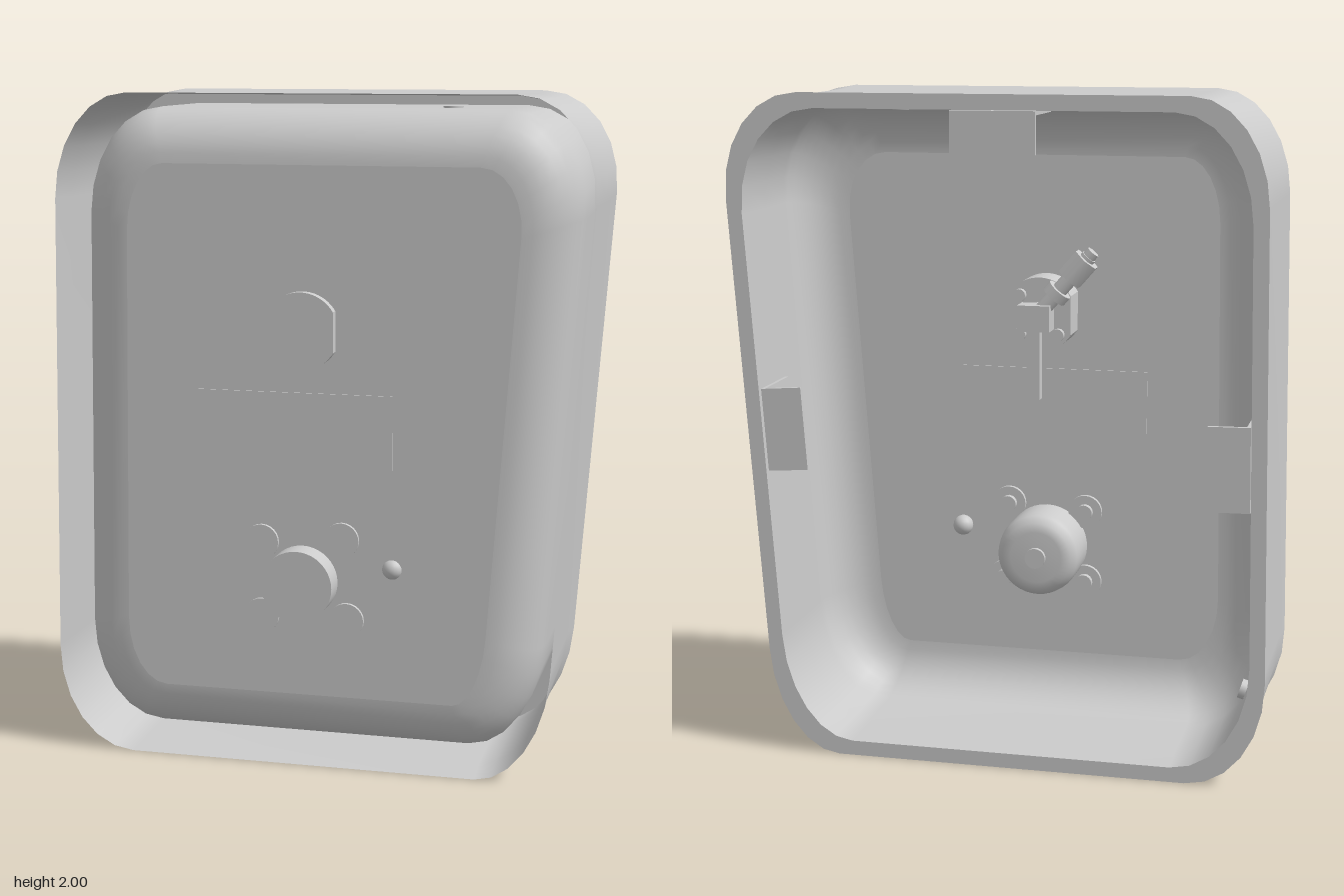
import * as THREE from 'three';

const solid = new THREE.MeshStandardMaterial({ color: 0xcccccc });
const thin = new THREE.MeshStandardMaterial({ color: 0xcccccc, side: THREE.DoubleSide });
const FLOOR = 0.22;
const LIP = 0.045;

// corner position, corner radii across and up, inward direction
const corners = [
  { x: 0.823, y: 2, rx: 0.245, ry: 0.31, sx: -1, sy: -1, lean: 0.073 },
  { x: -0.786, y: 2, rx: 0.22, ry: 0.31, sx: 1, sy: -1, lean: 0.0145 },
  { x: -0.815, y: 0, rx: 0.235, ry: 0.32, sx: 1, sy: 1, lean: 0.0145 },
  { x: 0.677, y: 0, rx: 0.195, ry: 0.32, sx: -1, sy: 1, lean: 0.073 },
];

// Rounded, slightly skewed outline, moved inward by inset
function outline(inset, steps = 6) {
  const points = [];
  const shrink = Math.max(0, inset - LIP) * 0.7;
  corners.forEach((c, i) => {
    const cx = c.x + c.sx * inset - c.sy * -c.lean * inset;
    const cy = c.y + c.sy * inset;
    const rx = c.rx - shrink, ry = c.ry - shrink;
    for (let k = 0; k <= steps; k++) {
      const t = (i % 2 ? steps - k : k) / steps * Math.PI / 2;
      const up = ry * (1 - Math.sin(t));
      const across = rx * (1 - Math.cos(t));
      points.push(new THREE.Vector2(cx + c.sx * across + c.sy * c.lean * up, cy + c.sy * up));
    }
  });
  return points;
}

// Surface through outlines given as [inset, z]
function loft(levels) {
  const pos = [], index = [];
  levels.forEach(([inset, z]) => outline(inset).forEach((p) => pos.push(p.x, p.y, z)));
  const n = pos.length / 3 / levels.length;
  for (let r = 0; r < levels.length - 1; r++) {
    for (let i = 0; i < n; i++) {
      const a = r * n + i, b = r * n + (i + 1) % n;
      index.push(a, a + n, b, b, a + n, b + n);
    }
  }
  const g = new THREE.BufferGeometry();
  g.setAttribute('position', new THREE.Float32BufferAttribute(pos, 3));
  g.setIndex(index);
  g.computeVertexNormals();
  return g;
}

function add(parent, name, geometry, x = 0, y = 0, z = 0, material = solid) {
  const mesh = new THREE.Mesh(geometry, material);
  mesh.name = name;
  mesh.position.set(x, y, z);
  parent.add(mesh);
  return mesh;
}

// Cylinder along z between two depths
function disc(parent, name, r, x, y, z0, z1, sides = 32) {
  const g = new THREE.CylinderGeometry(r, r, z1 - z0, sides).rotateX(Math.PI / 2);
  return add(parent, name, g, x, y, (z0 + z1) / 2);
}

function box(parent, name, w, h, d, x, y, z) {
  return add(parent, name, new THREE.BoxGeometry(w, h, d), x, y, z);
}

function buildHousing(parent) {
  add(parent, 'outerWall', loft([[0, 0.27], [0.006, 0.15], [0.008, -0.2], [0, -0.3]]), 0, 0, 0, thin);
  add(parent, 'backLip', loft([[0, -0.3], [LIP, -0.3]]), 0, 0, 0, thin);
  const r = 0.16;
  const levels = [[LIP, -0.3], [LIP, -0.1]];
  for (let k = 0; k <= 8; k++) {
    const t = k / 8 * Math.PI / 2;
    levels.push([LIP + r * (1 - Math.cos(t)), FLOOR - r + r * Math.sin(t)]);
  }
  add(parent, 'panWall', loft(levels), 0, 0, 0, thin);
  const floor = new THREE.ShapeGeometry(new THREE.Shape(outline(LIP + r)));
  add(parent, 'panFloor', floor, 0, 0, FLOOR, thin);
  box(parent, 'labelPlate', 0.59, 0.22, 0.008, -0.075, 1.02, FLOOR);
}

function buildLock(parent) {
  const lock = new THREE.Group();
  lock.name = 'lock';
  lock.position.set(-0.05, 1.315, 0);
  parent.add(lock);
  // round barrel with flattened sides
  const a = Math.acos(0.098 / 0.115);
  const shape = new THREE.Shape();
  shape.absarc(0, 0, 0.115, a, Math.PI - a, false);
  shape.absarc(0, 0, 0.115, Math.PI + a, -a, false);
  shape.closePath();
  const barrel = new THREE.ExtrudeGeometry(shape, { depth: 0.14, bevelEnabled: false, curveSegments: 10 });
  add(lock, 'lockBarrel', barrel, 0, 0, 0.11);
  for (const [x, y] of [[-0.06, -0.06], [0.06, -0.06], [0.06, 0.06]]) {
    disc(lock, 'lockScrew', 0.02, x, y, 0.09, 0.12, 12);
  }
  disc(lock, 'lockSpindle', 0.04, 0, 0, 0.03, 0.12, 16);
  box(lock, 'leverBlock', 0.1, 0.08, 0.07, 0, 0, 0.055);
  box(lock, 'leverArm', 0.04, 0.24, 0.035, 0, -0.13, 0.04);
  // angled rod ending in a hex nut
  const rod = new THREE.Group();
  rod.name = 'lockRod';
  rod.position.z = 0.06;
  rod.rotation.z = Math.PI / 4.4;
  lock.add(rod);
  add(rod, 'rodShaft', new THREE.CylinderGeometry(0.024, 0.024, 0.25, 16), 0, 0.125, 0);
  add(rod, 'rodCollar', new THREE.CylinderGeometry(0.04, 0.04, 0.03, 16), 0, 0.1, 0);
  add(rod, 'rodNut', new THREE.CylinderGeometry(0.045, 0.045, 0.08, 6), 0, 0.2, 0);
  add(rod, 'rodTip', new THREE.CylinderGeometry(0.02, 0.02, 0.03, 12), 0, 0.255, 0);
}

function buildKnob(parent) {
  disc(parent, 'frontKnob', 0.108, -0.053, 0.56, 0.2, 0.298, 40);
  // rounded body on the inside
  const profile = [[0, 0], [0.08, 0], [0.108, 0.008], [0.126, 0.03], [0.13, 0.055], [0.13, 0.17]]
    .map(([x, y]) => new THREE.Vector2(x, y));
  const body = new THREE.LatheGeometry(profile, 40).rotateX(Math.PI / 2);
  add(parent, 'knobBody', body, -0.053, 0.56, 0.05, thin);
  disc(parent, 'knobStub', 0.032, -0.053, 0.56, 0.035, 0.06, 20);
  // four fasteners around it
  for (const [x, y] of [[-0.178, 0.675], [0.068, 0.692], [-0.178, 0.447], [0.083, 0.447]]) {
    disc(parent, 'fastenerHead', 0.053, x, y, 0.205, 0.232, 24);
    disc(parent, 'fastenerPin', 0.026, x, y, 0.185, 0.21, 16);
  }
  add(parent, 'indicator', new THREE.SphereGeometry(0.032, 16, 12), 0.22, 0.61, FLOOR - 0.012);
}

// L-shaped bracket: tab faces the back, base lies along the wall above it
function bracket(parent, name, x, y, turn) {
  const g = new THREE.Group();
  g.name = name;
  g.position.set(x, y, 0);
  g.rotation.z = turn;
  parent.add(g);
  box(g, 'bracketTab', 0.25, 0.12, 0.012, 0, -0.065, -0.284);
  box(g, 'bracketBase', 0.25, 0.012, 0.21, 0, -0.008, -0.185);
}

export function createModel() {
  const model = new THREE.Group();
  model.name = 'enclosureCover';
  buildHousing(model);
  buildLock(model);
  buildKnob(model);
  bracket(model, 'topBracket', 0, 1.955, 0);
  bracket(model, 'leftBracket', 0.703, 1.0, -Math.PI / 2 - 0.073);
  bracket(model, 'rightBracket', -0.755, 0.95, Math.PI / 2 - 0.0145);

  // small plugs in the pan wall
  add(model, 'topPlug', new THREE.CylinderGeometry(0.03, 0.03, 0.02, 16), 0.35, 1.95, 0);
  const side = add(model, 'cornerPlug', new THREE.CylinderGeometry(0.03, 0.03, 0.02, 16), -0.715, 0.2, 0);
  side.rotation.z = Math.PI / 2 + 0.3;
  return model;
}
